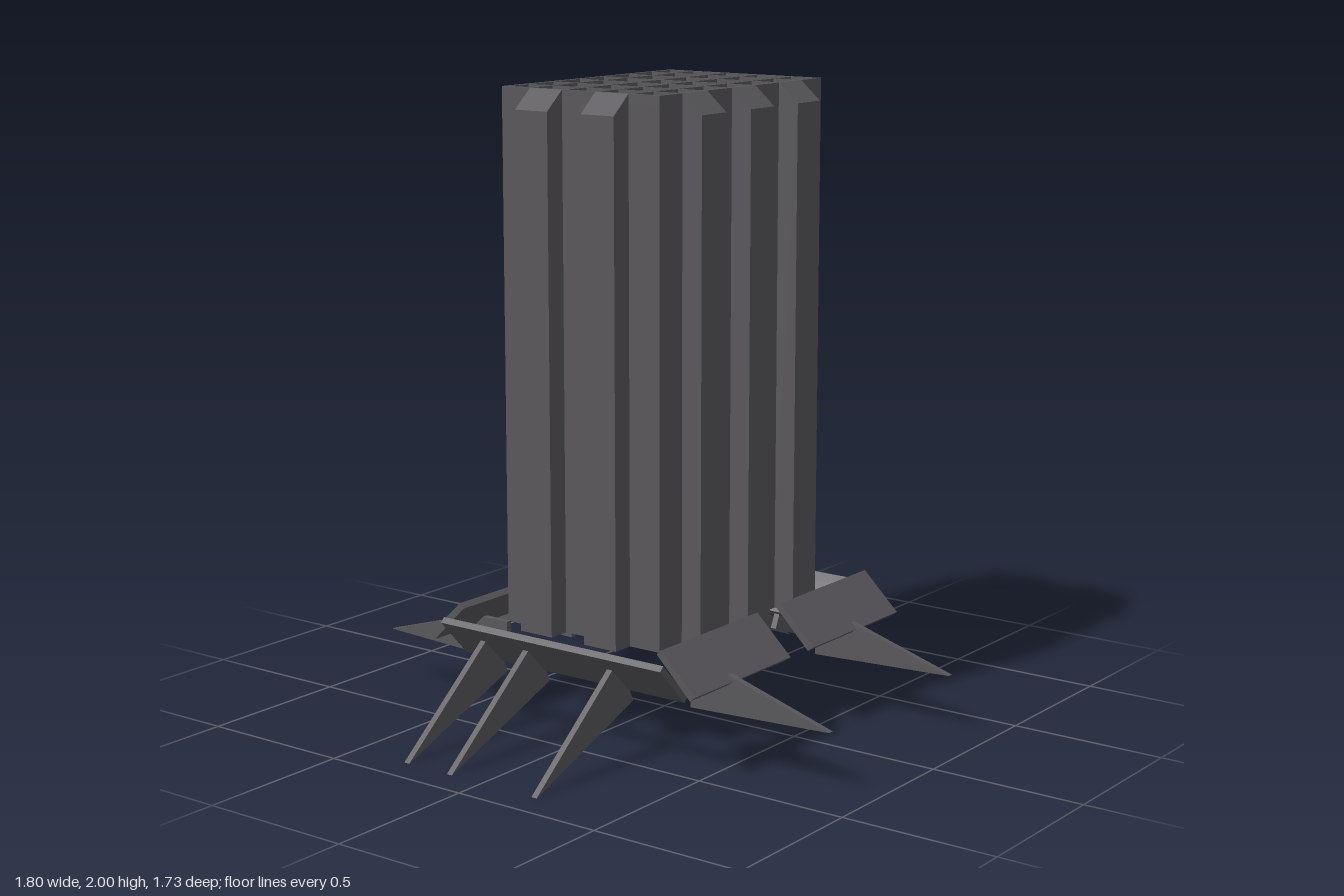
import * as THREE from 'three';

export function createModel() {
  const model = new THREE.Group();
  model.name = 'tower';
  const grey = new THREE.MeshStandardMaterial({ color: 0x59575b });
  grey.name = 'dark grey';

  const add = (parent, name, geometry) => {
    const mesh = new THREE.Mesh(geometry, grey);
    mesh.name = name;
    parent.add(mesh);
    return mesh;
  };
  const box = (parent, name, size, pos) =>
    add(parent, name, new THREE.BoxGeometry(...size)).position.set(...pos);

  // Profile drawn as (outward, up), extruded sideways; local +x is outward
  const slab = (points, width) => {
    const shape = new THREE.Shape(points.map((p) => new THREE.Vector2(...p)));
    return new THREE.ExtrudeGeometry(shape, { depth: width, bevelEnabled: false })
      .translate(0, 0, -width / 2);
  };
  // Places a slab on a side: px = +x, nx = -x, pz = +z, nz = -z
  const turn = { px: 0, nx: Math.PI, pz: -Math.PI / 2, nz: Math.PI / 2 };
  const place = (mesh, side, along) => {
    mesh.rotation.y = turn[side];
    if (side === 'px' || side === 'nx') mesh.position.z = along;
    else mesh.position.x = along;
  };

  // Main block, recessed at the top and the bottom
  const HX = 0.42, HZ = 0.295, Y0 = 0.34, Y1 = 2, TOP = 0.03, BOTTOM = 0.06;
  box(model, 'body', [HX * 2, Y1 - Y0 - TOP - BOTTOM, HZ * 2],
    [0, (Y0 + BOTTOM + Y1 - TOP) / 2, 0]);

  // Rims and thin crossing walls of the two gratings
  const grating = (name, y, h) => {
    const g = new THREE.Group();
    g.name = name;
    model.add(g);
    for (const s of [-1, 1]) {
      box(g, 'rim', [0.015, h, HZ * 2], [s * (HX - 0.0075), y, 0]);
      box(g, 'rim', [HX * 2 - 0.03, h, 0.015], [0, y, s * (HZ - 0.0075)]);
    }
    const lines = [-0.31, -0.19, -0.06, 0.06, 0.19, 0.31];
    for (const x of lines) box(g, 'gratingWall', [0.006, h, HZ * 2 - 0.03], [x, y, 0]);
    for (const z of lines.slice(1, 5)) box(g, 'gratingWall', [HX * 2 - 0.03, h, 0.006], [0, y, z]);
  };
  grating('topGrating', Y1 - TOP / 2, TOP);
  grating('bottomGrating', Y0 + BOTTOM / 2, BOTTOM);

  // Vertical ribs with sloped tops
  const rib = (side, along, inner) => {
    const pts = [[inner - 0.01, Y0], [inner + 0.07, Y0], [inner + 0.07, 1.94], [inner, Y1], [inner - 0.01, Y1]];
    place(add(model, 'rib', slab(pts, 0.122)), side, along);
  };
  for (const x of [-0.248, 0, 0.248]) for (const s of ['pz', 'nz']) rib(s, x, HZ);
  for (const z of [-0.125, 0.122]) for (const s of ['px', 'nx']) rib(s, z, HX);

  // Tilted skirt plates: the front and back slope down outward, the sides slope up
  const downPlate = [[0.385, 0.385], [0.505, 0.265], [0.525, 0.28], [0.4, 0.4]];
  const upPlate = [[0.45, 0.235], [0.465, 0.22], [0.585, 0.345], [0.57, 0.36]];
  const plate = (side, from, to, profile) =>
    place(add(model, 'skirtPlate', slab(profile, to - from)), side, (from + to) / 2);
  plate('pz', -0.555, -0.06, downPlate);
  plate('pz', 0.065, 0.555, downPlate);
  plate('nz', -0.53, 0.455, downPlate);
  plate('px', -0.5, 0.41, upPlate);
  plate('nx', -0.43, 0.42, upPlate);

  // Thin pointed legs
  const sideLeg = [[0.44, 0.18], [0.9, 0.005], [0.53, 0.31], [0.48, 0.27]];
  const endLeg = [[0.37, 0.17], [0.865, 0.19], [0.5, 0.3], [0.37, 0.3]];
  const legs = [
    ['px', [-0.305, -0.13, 0.12, 0.285], sideLeg],
    ['nx', [-0.295, -0.125, 0.2], sideLeg],
    ['pz', [-0.355, 0.32], endLeg],
    ['nz', [-0.33, -0.005, 0.315], endLeg],
  ];
  for (const [side, spots, profile] of legs) {
    for (const along of spots) place(add(model, 'leg', slab(profile, 0.02)), side, along);
  }
  return model;
}
